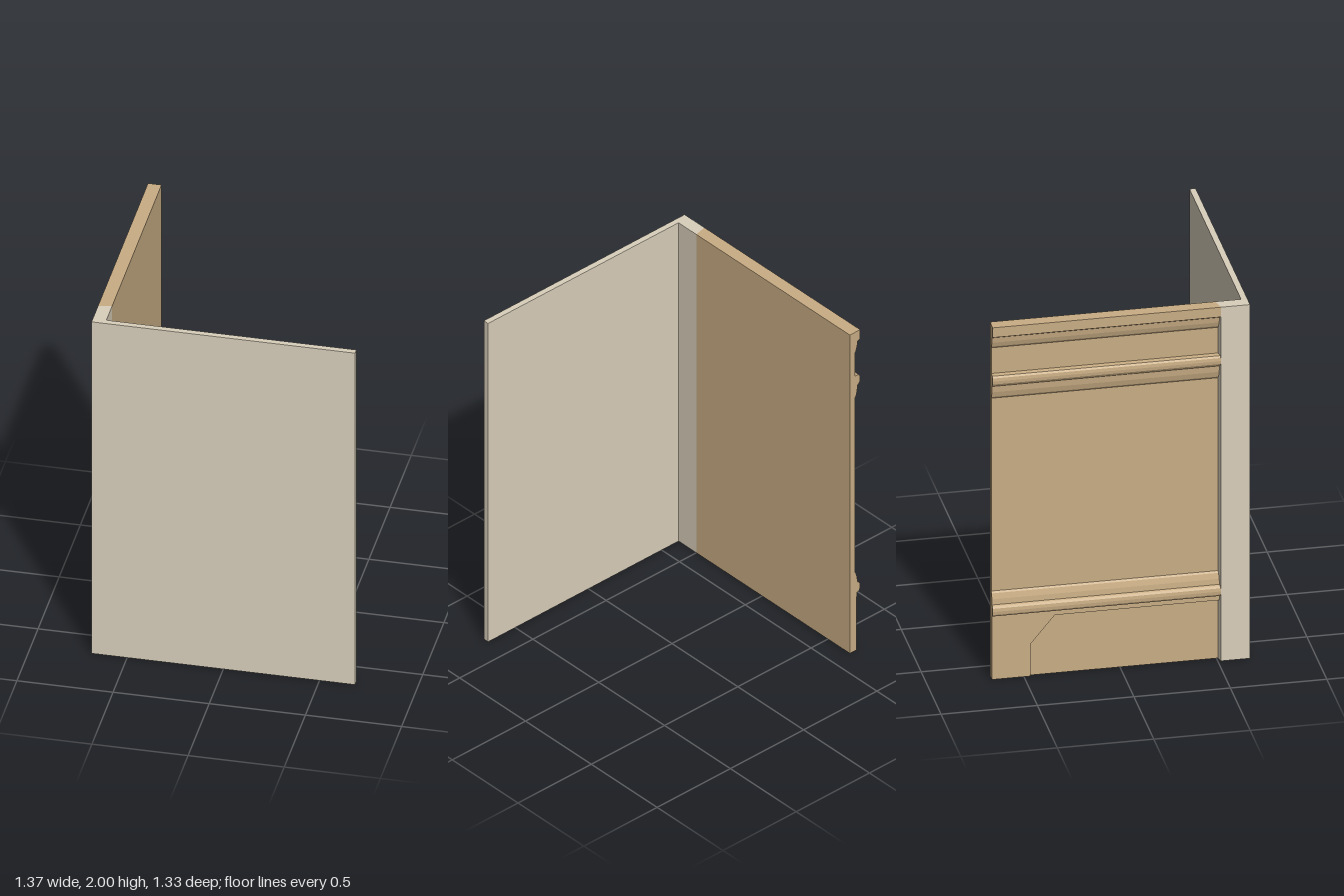
import * as THREE from 'three';

const W = 0.685, D = 0.667;          // half width and half depth
const INNER = -0.615, FIELD = -0.649; // inner face and recessed field of the side panel

const polygon = (points) => new THREE.Shape(points.map(([a, b]) => new THREE.Vector2(a, b)));
const extrude = (points, depth) =>
  new THREE.ExtrudeGeometry(polygon(points), { depth, bevelEnabled: false });

function part(name, geometry, color) {
  const mesh = new THREE.Mesh(geometry, new THREE.MeshStandardMaterial({ color }));
  mesh.name = name;
  return mesh;
}

// z at which the side panel meets the corner post, slightly slanted
const jointZ = (x) => 0.5 + 0.016 * (INNER - x) / (W + INNER);

export function createModel() {
  const model = new THREE.Group();
  model.name = 'corner panels';
  const beige = 0xd9cfbb, tan = 0xc9ad84;

  // Front board and corner post, one L-shaped plan
  const plan = [
    [-W, D], [W, D], [W, 0.635], [INNER, 0.635],
    [INNER, jointZ(INNER)], [-W, jointZ(-W)],
  ].map(([x, z]) => [x, -z]);
  const board = extrude(plan, 2);
  board.rotateX(-Math.PI / 2);
  model.add(part('frontBoardAndPost', board, beige));

  // Side panel: moulded section (x, y) drawn from the top down
  const section = [
    [INNER, 0], [INNER, 2],
    // cornice
    [-W, 2], [-W, 1.945], [-0.668, 1.935], [-0.664, 1.905], [-0.656, 1.88], [FIELD, 1.87],
    // upper rail
    [FIELD, 1.725], [-0.676, 1.722], [-0.683, 1.712], [-W, 1.695], [-0.683, 1.678],
    [-0.676, 1.667], [-0.667, 1.66], [-0.664, 1.625], [-0.656, 1.595], [FIELD, 1.585],
    // lower rail
    [FIELD, 0.495], [-0.656, 0.485], [-0.664, 0.455], [-0.667, 0.425], [-0.676, 0.42],
    [-0.683, 0.41], [-W, 0.393], [-0.683, 0.375], [-0.676, 0.364], [-0.665, 0.36],
    [-0.665, 0.335], [FIELD, 0.335], [FIELD, 0],
  ];
  const panel = extrude(section, 1);
  const pos = panel.attributes.position;
  for (let i = 0; i < pos.count; i++) {
    pos.setZ(i, pos.getZ(i) > 0.5 ? jointZ(pos.getX(i)) : -D);
  }
  panel.computeVertexNormals();
  model.add(part('sidePanel', panel, tan));

  // Shaped foot at the rear end of the plinth
  const foot = extrude([[-D, 0], [-0.467, 0], [-0.467, 0.18], [-0.335, 0.34], [-D, 0.34]], 0.012);
  foot.rotateY(-Math.PI / 2);
  foot.translate(FIELD, 0, 0);
  model.add(part('plinthFoot', foot, tan));

  return model;
}
